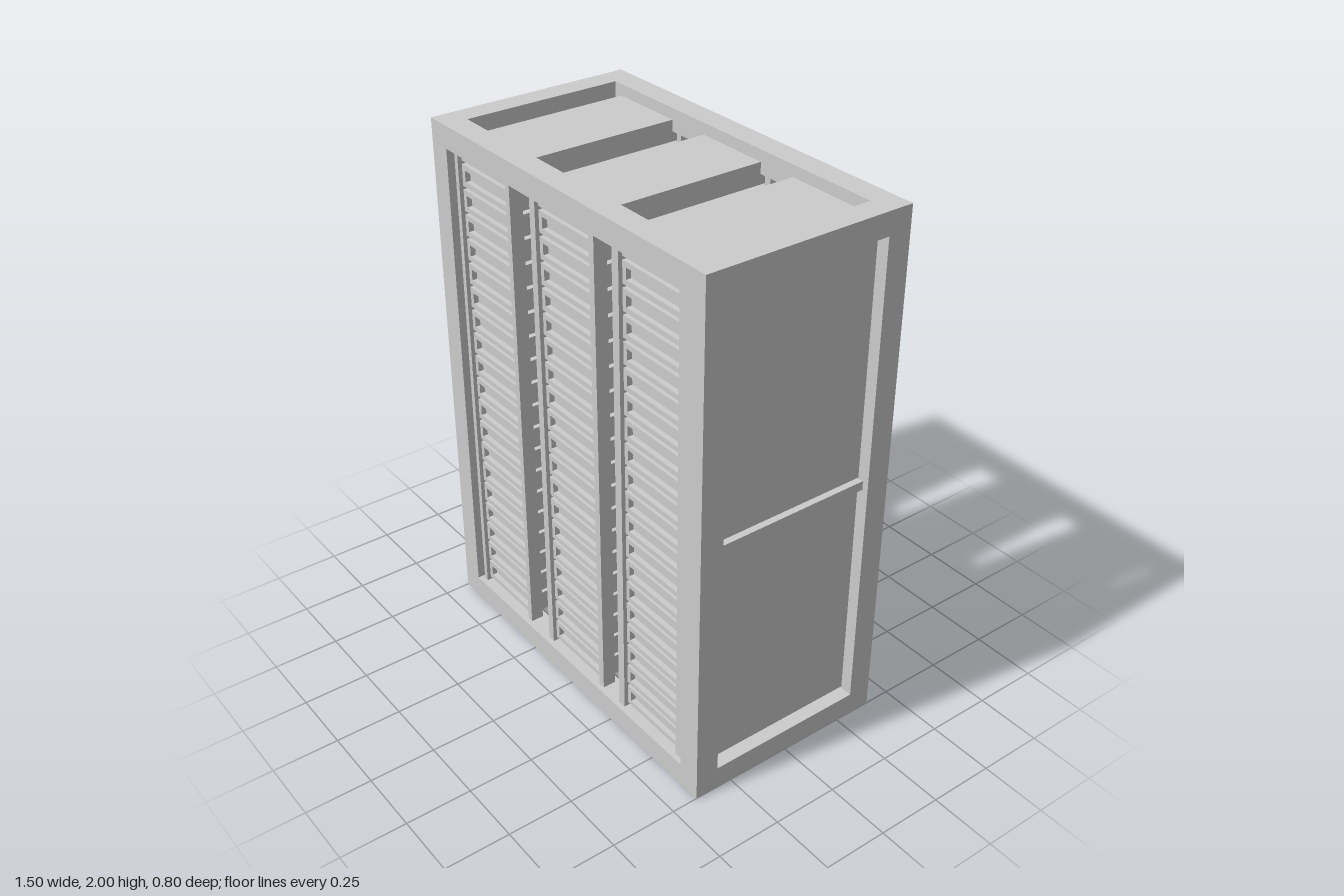
import * as THREE from 'three';

const material = new THREE.MeshStandardMaterial({ color: 0xcccccc, flatShading: true });

function mesh(name, geometry, x = 0, y = 0, z = 0) {
  const m = new THREE.Mesh(geometry, material);
  m.name = name;
  m.position.set(x, y, z);
  return m;
}

// Box given by its minimum and maximum on each axis
function box(name, x0, x1, y0, y1, z0, z1) {
  return mesh(name, new THREE.BoxGeometry(x1 - x0, y1 - y0, z1 - z0),
    (x0 + x1) / 2, (y0 + y1) / 2, (z0 + z1) / 2);
}

function rectangle(target, w, h) {
  target.moveTo(-w / 2, -h / 2);
  target.lineTo(w / 2, -h / 2);
  target.lineTo(w / 2, h / 2);
  target.lineTo(-w / 2, h / 2);
  target.closePath();
  return target;
}

export function createModel() {
  const model = new THREE.Group();
  model.name = 'rack';

  const X = 0.75, Y = 2, Z = 0.4;      // outer half width, height, half depth
  const xi = 0.66, zi = 0.31;          // inner edges of the frame
  const yb = 0.088, yt = 1.915;

  // Outer frame: four corner columns joined by rails at top and bottom
  const frame = new THREE.Group();
  frame.name = 'frame';
  for (const sx of [-1, 1]) {
    for (const sz of [-1, 1]) {
      const cx = sx * (X + xi) / 2, cz = sz * (Z + zi) / 2;
      frame.add(mesh('cornerColumn', new THREE.BoxGeometry(X - xi, Y, Z - zi), cx, Y / 2, cz));
    }
  }
  for (const [y0, y1] of [[0, yb], [yt, Y]]) {
    for (const s of [-1, 1]) {
      const cy = (y0 + y1) / 2;
      frame.add(mesh('longRail', new THREE.BoxGeometry(2 * xi, y1 - y0, Z - zi), 0, cy, s * (Z + zi) / 2));
      frame.add(mesh('shortRail', new THREE.BoxGeometry(X - xi, y1 - y0, 2 * zi), s * (X + xi) / 2, cy, 0));
    }
  }
  model.add(frame);

  // Recessed side panels with a cross bar halfway up
  for (const s of [-1, 1]) {
    model.add(mesh('sidePanel', new THREE.BoxGeometry(0.04, 1.8, 0.605), s * 0.69, 1.004, 0));
    model.add(mesh('sideCrossBar', new THREE.BoxGeometry(0.06, 0.035, 0.6), s * 0.705, 1.003, 0));
  }

  // Drawer: a body with a rim at each end leaving a shallow pocket
  const drawerW = 0.3, drawerH = 0.08, drawerZ = 0.365, pocket = 0.02;
  const rimShape = rectangle(new THREE.Shape(), drawerW, drawerH);
  rimShape.holes.push(rectangle(new THREE.Path(), 0.264, 0.042));
  const rimGeometry = new THREE.ExtrudeGeometry(rimShape, { depth: pocket, bevelEnabled: false });
  const bodyGeometry = new THREE.BoxGeometry(drawerW, drawerH, 2 * (drawerZ - pocket));

  // Three stacks of twenty drawers, each held between thin posts front and back
  const stacks = [
    { x: -0.473, left: -0.643, right: -0.3 },
    { x: 0, left: -0.18, right: 0.177 },
    { x: 0.456, left: 0.272, right: 0.638 },
  ];
  for (const { x, left, right } of stacks) {
    const stack = new THREE.Group();
    stack.name = 'drawerStack';
    for (let i = 0; i < 20; i++) {
      const drawer = new THREE.Group();
      drawer.name = 'drawer';
      drawer.position.set(x, 0.141 + i * 0.0935, 0);
      drawer.add(mesh('drawerBody', bodyGeometry));
      drawer.add(mesh('frontRim', rimGeometry, 0, 0, drawerZ - pocket));
      drawer.add(mesh('backRim', rimGeometry, 0, 0, -drawerZ));
      stack.add(drawer);
    }
    for (const [z0, z1] of [[0.33, 0.38], [-0.38, -0.33]]) {
      stack.add(box('post', left, x - drawerW / 2, yb, yt, z0, z1));
      stack.add(box('post', x + drawerW / 2, right, yb, yt, z0, z1));
    }
    model.add(stack);
  }

  return model;
}
